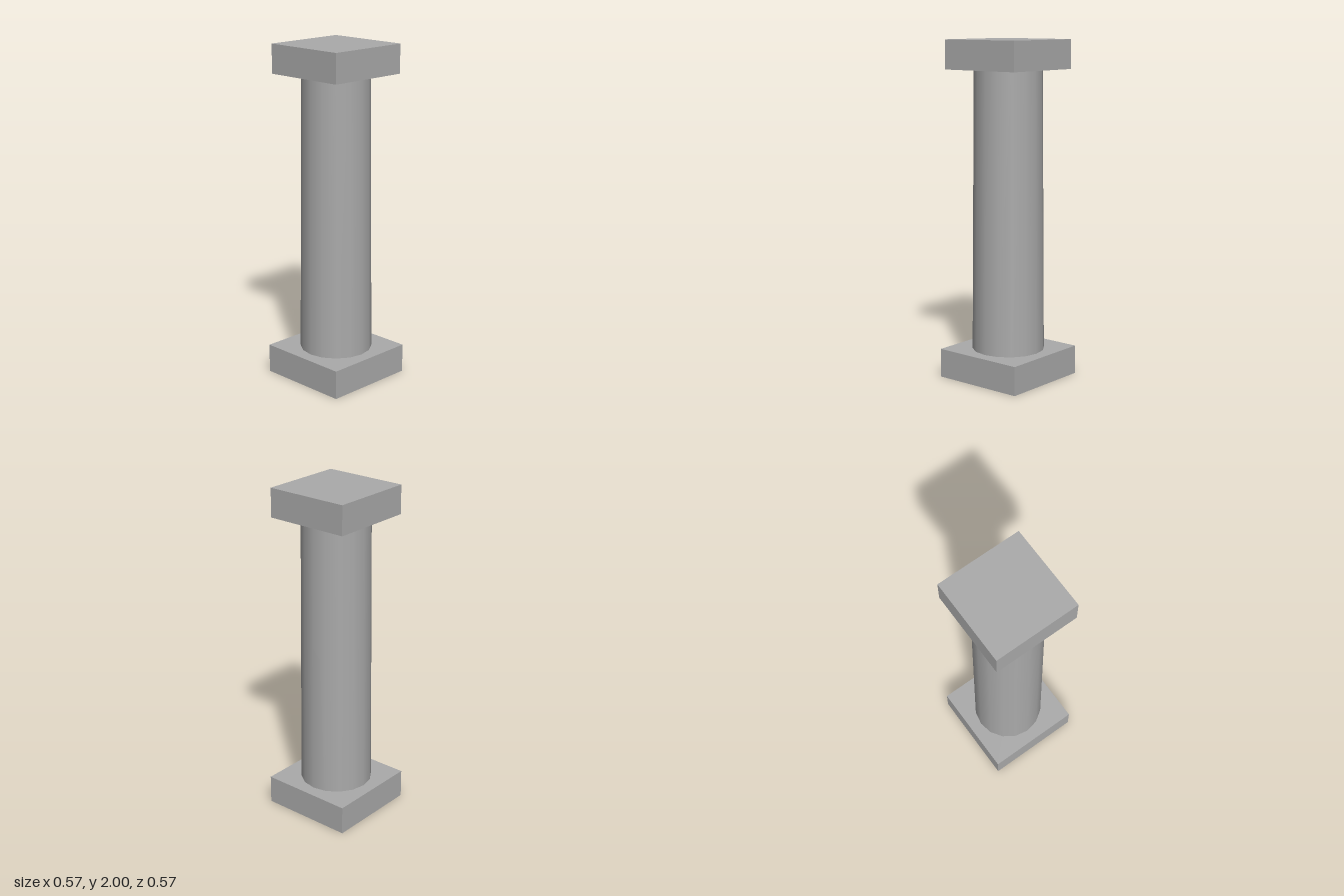
import * as THREE from 'three';

export function createModel() {
  const column = new THREE.Group();
  column.name = 'column';
  const stone = new THREE.MeshStandardMaterial({ color: 0xaaaaaa });
  stone.name = 'grey stone';

  const slabHeight = 0.3 * 2 / 3.5;
  const shaftHeight = 2 - 2 * slabHeight;

  const addPart = (name, geometry, y) => {
    const mesh = new THREE.Mesh(geometry, stone);
    mesh.name = name;
    mesh.position.y = y;
    column.add(mesh);
  };

  // Square plinth, tapered round shaft and slightly smaller square capital
  addPart('base', new THREE.BoxGeometry(0.5714, slabHeight, 0.5714), slabHeight / 2);
  addPart('shaft', new THREE.CylinderGeometry(0.2, 0.2143, shaftHeight, 16), 1);
  addPart('capital', new THREE.BoxGeometry(0.5143, slabHeight, 0.5143), 2 - slabHeight / 2);

  return column;
}
